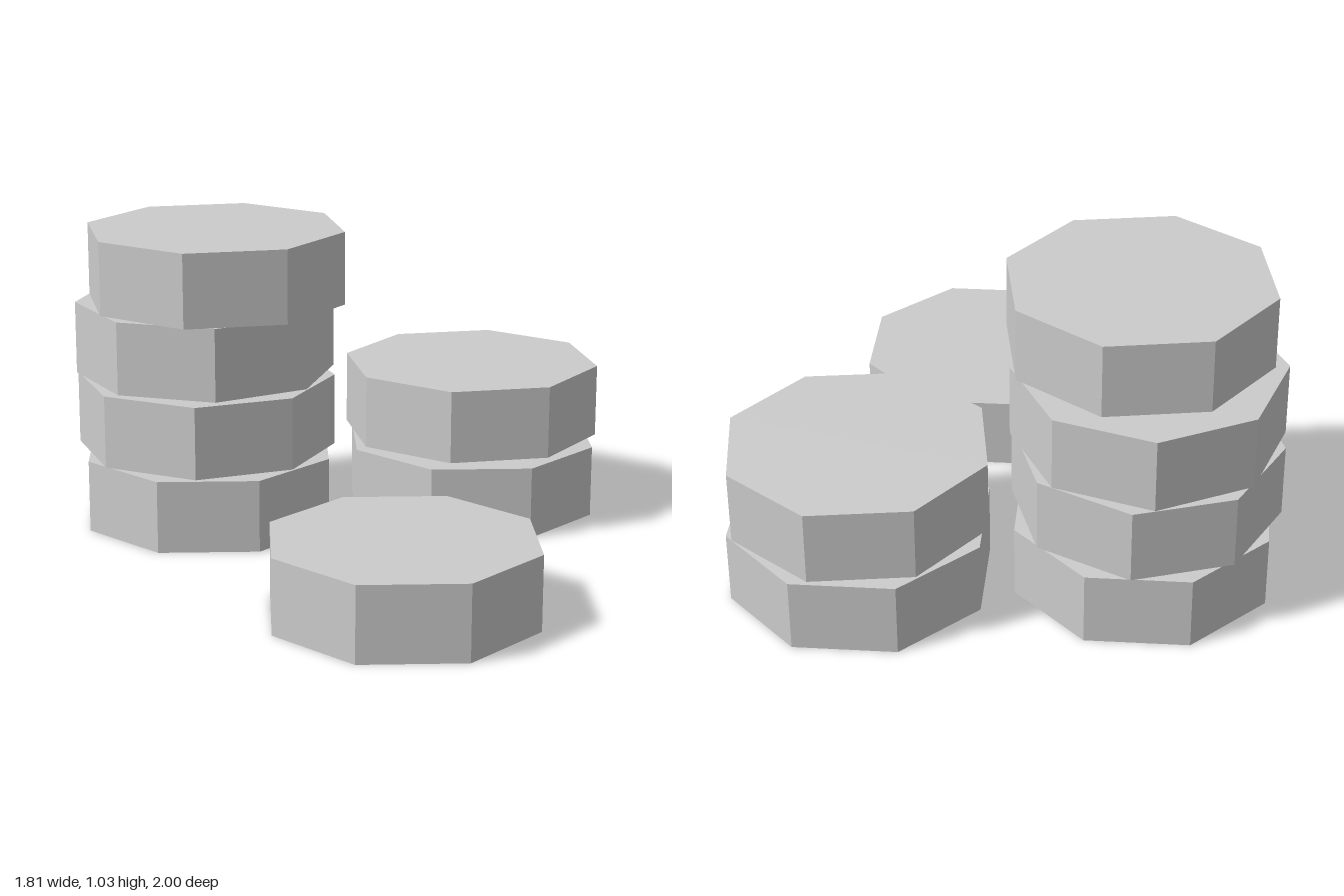
import * as THREE from 'three';

const RADIUS = 0.4375;
const HEIGHT = 0.244;

export function createModel() {
  const model = new THREE.Group();
  model.name = 'stackedDiscs';

  const grey = new THREE.MeshStandardMaterial({ color: 0xcccccc, flatShading: true });
  grey.name = 'light grey';

  // one octagonal disc shared by every stack
  const discGeometry = new THREE.CylinderGeometry(RADIUS, RADIUS, HEIGHT, 8);

  // each disc: [x, bottom y, z, turn in radians]
  const stacks = {
    tallStack: [
      [-0.467, 0, -0.12, 0],
      [-0.472, 0.261, -0.112, 0.32],
      [-0.472, 0.522, -0.112, -0.31],
      [-0.403, 0.785, -0.042, 0.167],
    ],
    shortStack: [
      [0.333, 0, -0.563, 0],
      [0.331, 0.272, -0.563, 0.15],
    ],
    singleDisc: [[0.465, 0, 0.5625, 0]],
  };

  for (const [name, discs] of Object.entries(stacks)) {
    const stack = new THREE.Group();
    stack.name = name;
    discs.forEach(([x, y, z, turn], i) => {
      const disc = new THREE.Mesh(discGeometry, grey);
      disc.name = `disc${i + 1}`;
      disc.position.set(x, y + HEIGHT / 2, z);
      disc.rotation.y = turn;
      stack.add(disc);
    });
    model.add(stack);
  }
  return model;
}
